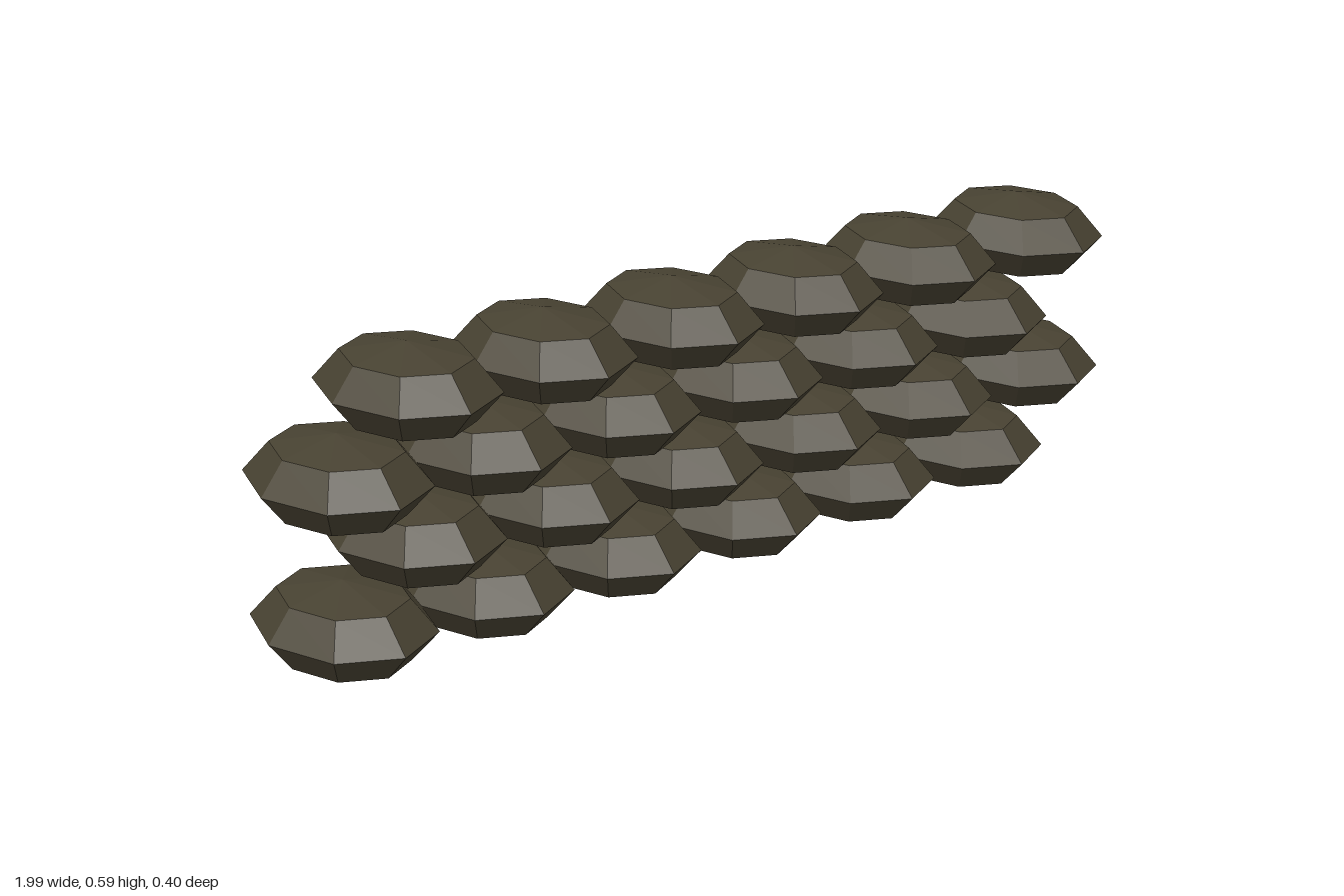
import * as THREE from 'three';

export function createModel() {
  const group = new THREE.Group();
  group.name = 'sandbagWall';

  const burlap = new THREE.MeshStandardMaterial({ color: 0x484232, flatShading: true });
  burlap.name = 'dark burlap';

  // one faceted, flattened bag shared by the whole wall
  const bagGeometry = new THREE.SphereGeometry(1, 8, 4);
  bagGeometry.scale(0.16, 0.085, 0.2);

  const ROWS = 4, BAGS = 6, STEP_X = 0.303, STEP_Y = 0.1413;

  // stacked courses, every other one shifted by half a bag
  for (let r = 0; r < ROWS; r++) {
    const row = new THREE.Group();
    row.name = `bagRow${r + 1}`;
    row.position.set(r % 2 ? -0.685 : -0.839, 0.087 + r * STEP_Y, 0);
    for (let i = 0; i < BAGS; i++) {
      const bag = new THREE.Mesh(bagGeometry, burlap);
      bag.name = `sandbag${r + 1}_${i + 1}`;
      bag.position.x = i * STEP_X;
      row.add(bag);
    }
    group.add(row);
  }
  return group;
}
